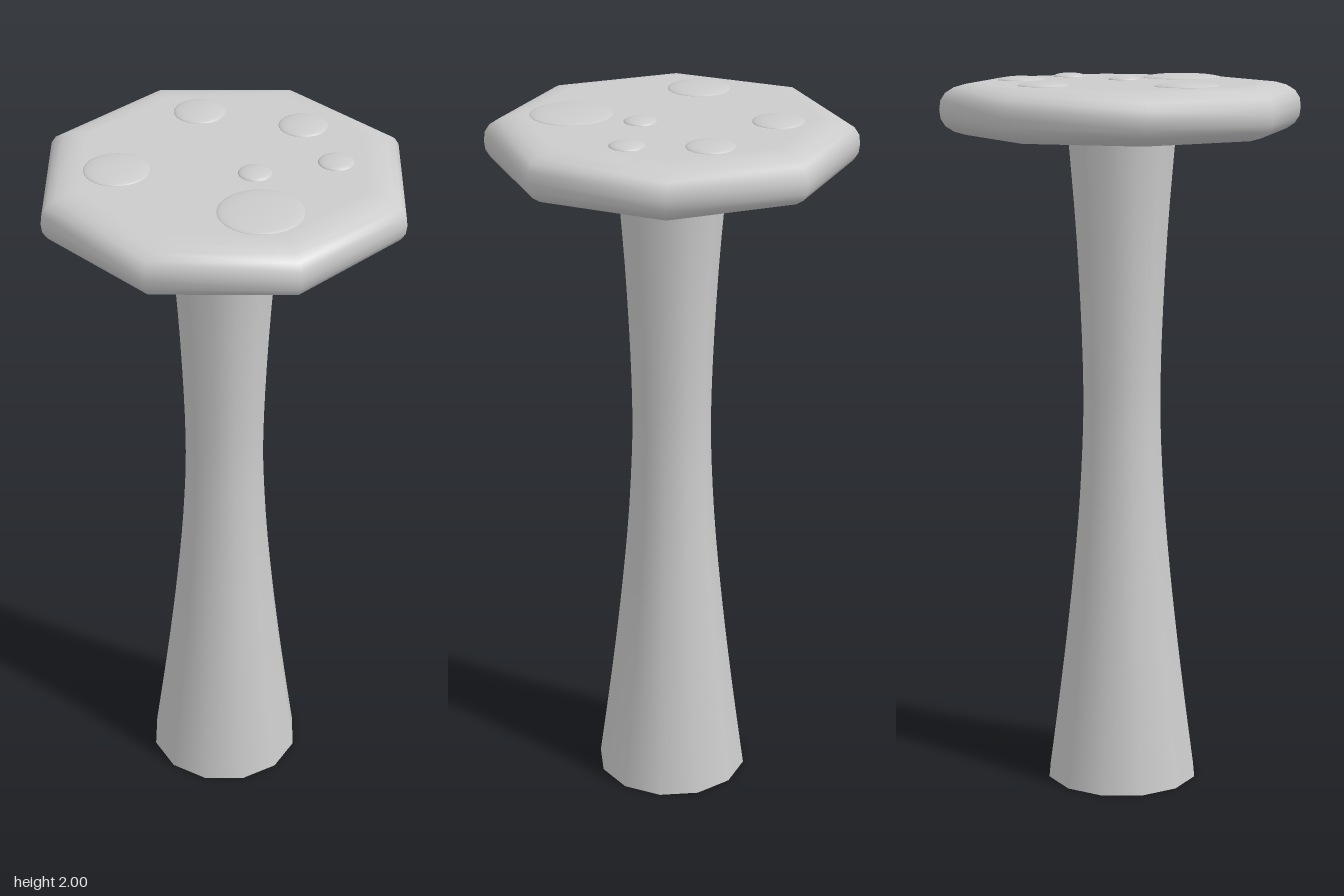
import * as THREE from 'three';

const material = new THREE.MeshStandardMaterial({ color: 0xcccccc, side: THREE.DoubleSide });

// Smooth surface of revolution from [radius, height] pairs, listed bottom to top
function lathe(name, points, segments, phase = 0, radialScale = 1) {
  const profile = points.map(([r, y]) => new THREE.Vector2(r * radialScale, y));
  const mesh = new THREE.Mesh(new THREE.LatheGeometry(profile, segments, phase), material);
  mesh.name = name;
  return mesh;
}

export function createModel() {
  const model = new THREE.Group();
  model.name = 'mushroom';

  // Hollow waisted stem, open at both ends
  const stemCurve = new THREE.SplineCurve([
    [0.217, 0], [0.19, 0.2], [0.165, 0.4], [0.143, 0.6], [0.125, 0.8], [0.114, 1.0],
    [0.112, 1.15], [0.118, 1.35], [0.132, 1.6], [0.153, 1.85],
  ].map(([r, y]) => new THREE.Vector2(r, y)));
  model.add(lathe('stem', stemCurve.getPoints(24).map((p) => [p.x, p.y]), 12));

  // Eight-sided cap shell with a rounded rim, open underneath
  const capProfile = [
    [0.362, 1.845], [0.395, 1.848], [0.425, 1.857], [0.447, 1.872], [0.459, 1.892], [0.462, 1.917],
    [0.459, 1.942], [0.447, 1.962], [0.425, 1.977], [0.395, 1.986], [0.362, 1.989], [0, 1.989],
  ];
  model.add(lathe('cap', capProfile, 8, Math.PI / 8, 1 / Math.cos(Math.PI / 8)));

  // Shallow domed spots: x, z, radius
  const spots = new THREE.Group();
  spots.name = 'spots';
  const dome = new THREE.SphereGeometry(1, 32, 8, 0, Math.PI * 2, 0, Math.PI / 2);
  [
    [-0.223, -0.166, 0.087], [0.148, -0.244, 0.07], [0.289, 0.003, 0.066],
    [0.018, 0.094, 0.045], [0.207, 0.2, 0.048], [-0.111, 0.242, 0.112],
  ].forEach(([x, z, r], i) => {
    const spot = new THREE.Mesh(dome, material);
    spot.name = `spot${i + 1}`;
    spot.position.set(x, 1.988, z);
    spot.scale.set(r, 0.012, r);
    spots.add(spot);
  });
  model.add(spots);

  return model;
}
